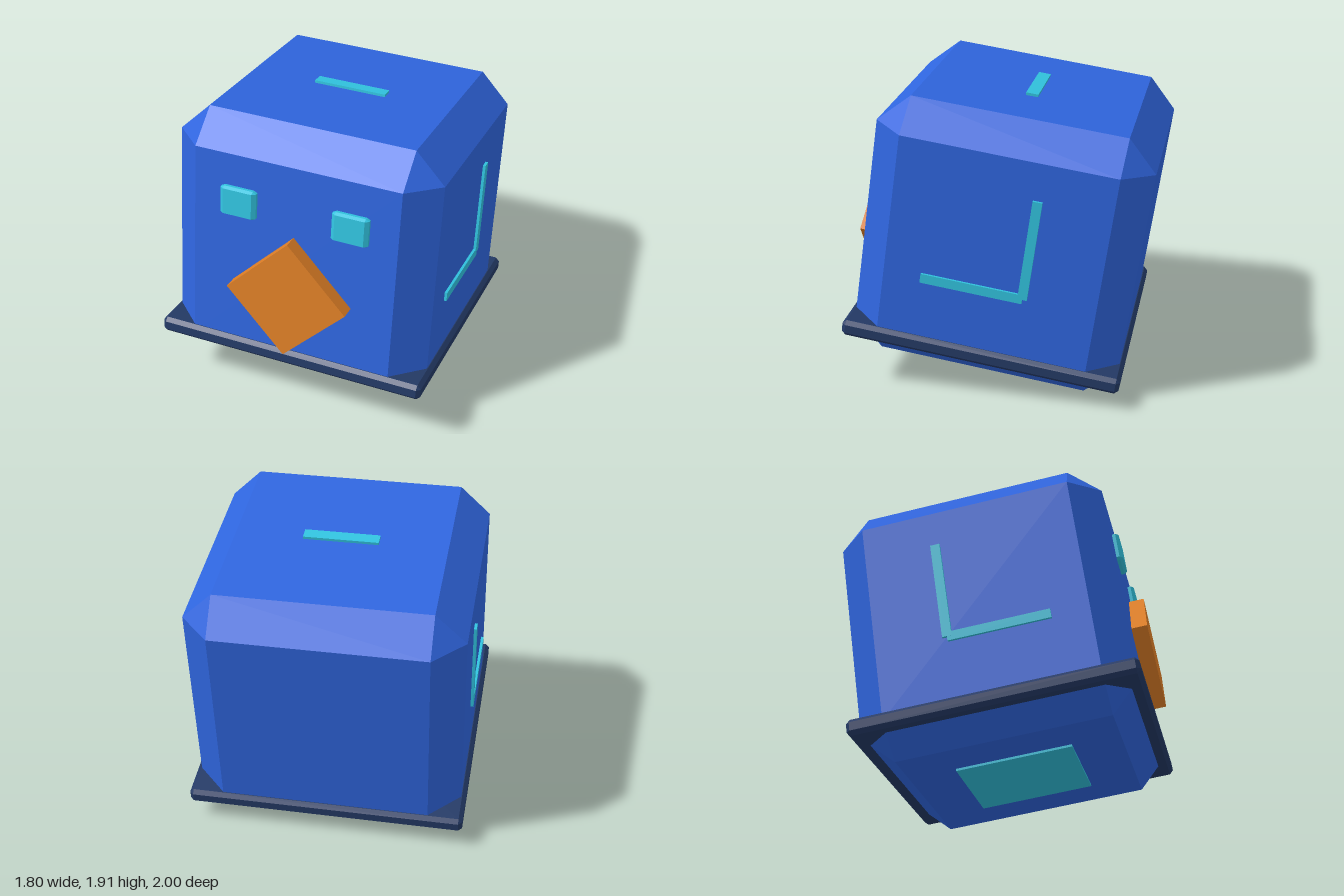
import * as THREE from 'three';
import { ConvexGeometry } from 'three/addons/geometries/ConvexGeometry.js';

// Box with flat chamfers on all edges; cx, cy, cz are the cut sizes per axis
function chamferBox(w, h, d, cx, cy = cx, cz = cx) {
  const pts = [];
  for (const sx of [-1, 1]) for (const sy of [-1, 1]) for (const sz of [-1, 1]) {
    const x = w / 2, y = h / 2, z = d / 2;
    pts.push(
      new THREE.Vector3(sx * x, sy * (y - cy), sz * (z - cz)),
      new THREE.Vector3(sx * (x - cx), sy * y, sz * (z - cz)),
      new THREE.Vector3(sx * (x - cx), sy * (y - cy), sz * z)
    );
  }
  return new ConvexGeometry(pts);
}

function material(name, color) {
  const m = new THREE.MeshStandardMaterial({ color });
  m.name = name;
  return m;
}

export function createModel() {
  const blue = material('body blue', 0x2f65de);
  const navy = material('brim navy', 0x243a66);
  const cyan = material('trim cyan', 0x31c3df);
  const orange = material('beak orange', 0xdd7e26);

  const model = new THREE.Group();
  model.name = 'cubeBird';

  // Everything leans back together
  const tilted = new THREE.Group();
  tilted.name = 'tiltedBody';
  tilted.rotation.x = -0.142;
  model.add(tilted);

  const add = (name, geometry, mat, x, y, z) => {
    const mesh = new THREE.Mesh(geometry, mat);
    mesh.name = name;
    mesh.position.set(x, y, z);
    tilted.add(mesh);
    return mesh;
  };
  const box = (w, h, d) => new THREE.BoxGeometry(w, h, d);
  const midZ = 0.094;

  // Body and the thin brim around its base
  add('body', chamferBox(1.74, 1.74, 1.74, 0.195), blue, 0, 0.955, midZ);
  add('brim', chamferBox(1.8, 0.105, 1.8, 0.025), navy, 0, 0.278, midZ);

  // Diamond beak
  const side = 0.4 * Math.SQRT2;
  const beak = add('beak', box(side, side, 0.16), orange, 0, 0.757, 0.985);
  beak.rotation.z = Math.PI / 4;

  // Eyes and L-shaped wing lines, mirrored
  for (const s of [-1, 1]) {
    const label = s > 0 ? 'left' : 'right';
    add(label + 'Eye', chamferBox(0.24, 0.195, 0.09, 0.024, 0.012, 0.02), cyan, s * 0.37, 1.32, 0.96);
    add(label + 'WingUpright', box(0.04, 0.655, 0.06), cyan, s * 0.868, 1.0625, -0.12);
    add(label + 'WingFoot', box(0.04, 0.06, 0.65), cyan, s * 0.867, 0.735, 0.205);
  }

  // Bar on top and plate underneath
  add('topBar', box(0.48, 0.04, 0.08), cyan, 0, 1.822, midZ);
  add('basePlate', box(0.74, 0.04, 0.74), cyan, 0, 0.09, midZ);

  return model;
}
